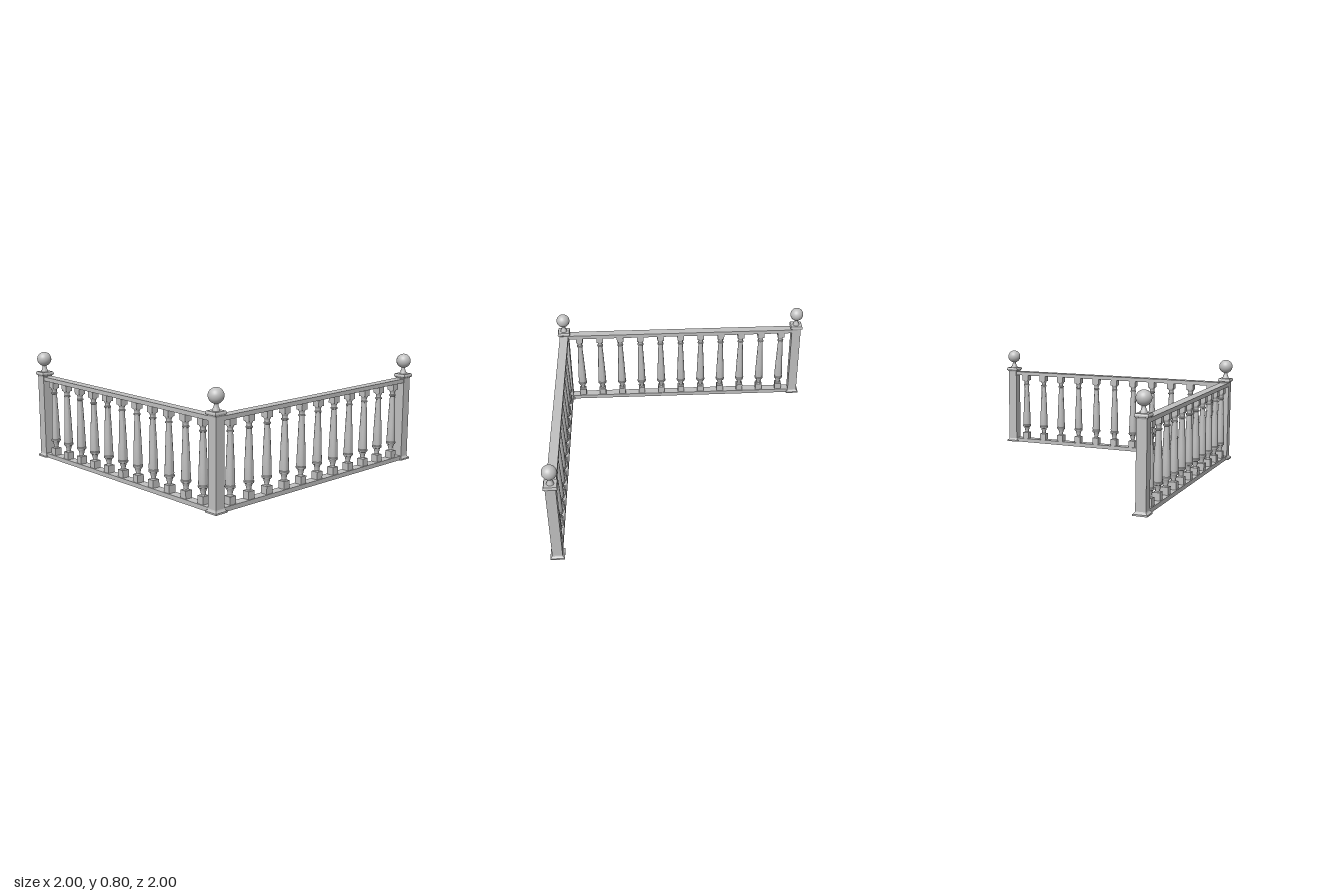
import * as THREE from 'three';
import { toCreasedNormals } from 'three/addons/utils/BufferGeometryUtils.js';

const C = 0.948; // post centre line
const stone = new THREE.MeshStandardMaterial({ color: 0xc0c0c0 });
stone.name = 'pale grey stone';

function part(name, geometry, x = 0, y = 0, z = 0) {
  const mesh = new THREE.Mesh(geometry, stone);
  mesh.name = name;
  mesh.position.set(x, y, z);
  return mesh;
}

// Round turned piece from [radius, height] pairs
function turned(points, sides = 24) {
  const pts = points.map(([r, y]) => new THREE.Vector2(r, y));
  return toCreasedNormals(new THREE.LatheGeometry(pts, sides), 0.6);
}

// Square moulded piece from [half width, height] pairs
function squared(points) {
  const pts = points.map(([h, y]) => new THREE.Vector2(h * Math.SQRT2, y));
  const g = new THREE.LatheGeometry(pts, 4).rotateY(Math.PI / 4);
  return toCreasedNormals(g, 0.1);
}

const postGeo = squared([
  [0, 0], [0.05, 0], [0.05, 0.011], [0.045, 0.014], [0.039, 0.02], [0.036, 0.027],
  [0.036, 0.618], [0.039, 0.626], [0.046, 0.631], [0.048, 0.634], [0.048, 0.642],
  [0.043, 0.653], [0, 0.653],
]);
const neckGeo = turned([
  [0.026, 0.652], [0.024, 0.66], [0.019, 0.672], [0.014, 0.686], [0.013, 0.705],
]);
const ballGeo = new THREE.SphereGeometry(0.052, 32, 20);

const blockTop = new THREE.BoxGeometry(0.053, 0.046, 0.053);
const blockBottom = new THREE.BoxGeometry(0.053, 0.054, 0.053);
const spindleGeo = turned([
  [0.02, 0.08], [0.022, 0.085], [0.016, 0.092], [0.016, 0.1], [0.02, 0.116], [0.024, 0.13],
  [0.026, 0.134], [0.033, 0.137], [0.035, 0.143], [0.035, 0.15], [0.031, 0.155],
  [0.032, 0.165], [0.028, 0.28], [0.023, 0.4], [0.018, 0.498],
  [0.024, 0.501], [0.024, 0.509], [0.018, 0.512], [0.018, 0.527],
  [0.021, 0.534], [0.025, 0.54], [0.025, 0.548],
]);

// One straight run along x, with rails and eleven balusters
function balustrade(name) {
  const run = new THREE.Group();
  run.name = name;
  run.add(part('topRail', new THREE.BoxGeometry(2 * C, 0.03, 0.067), 0, 0.605, 0));
  run.add(part('bottomRail', new THREE.BoxGeometry(2 * C, 0.031, 0.067), 0, 0.0155, 0));
  for (let i = -5; i <= 5; i++) {
    const baluster = new THREE.Group();
    baluster.name = 'baluster';
    baluster.position.x = i * 0.1655;
    baluster.add(
      part('balusterTopBlock', blockTop, 0, 0.568, 0),
      part('balusterSpindle', spindleGeo),
      part('balusterBottomBlock', blockBottom, 0, 0.058, 0),
    );
    run.add(baluster);
  }
  return run;
}

export function createModel() {
  const model = new THREE.Group();
  model.name = 'cornerBalustrade';

  // Two runs meeting at the front right corner
  const front = balustrade('frontRun');
  front.position.z = C;
  const side = balustrade('sideRun');
  side.rotation.y = Math.PI / 2;
  side.position.x = -C;
  model.add(front, side);

  // Posts with ball finials
  for (const [x, z] of [[-C, C], [C, C], [-C, -C]]) {
    const post = new THREE.Group();
    post.name = 'post';
    post.position.set(x, 0, z);
    post.add(
      part('postShaft', postGeo),
      part('finialNeck', neckGeo),
      part('finialBall', ballGeo, 0, 0.748, 0),
    );
    model.add(post);
  }
  return model;
}
